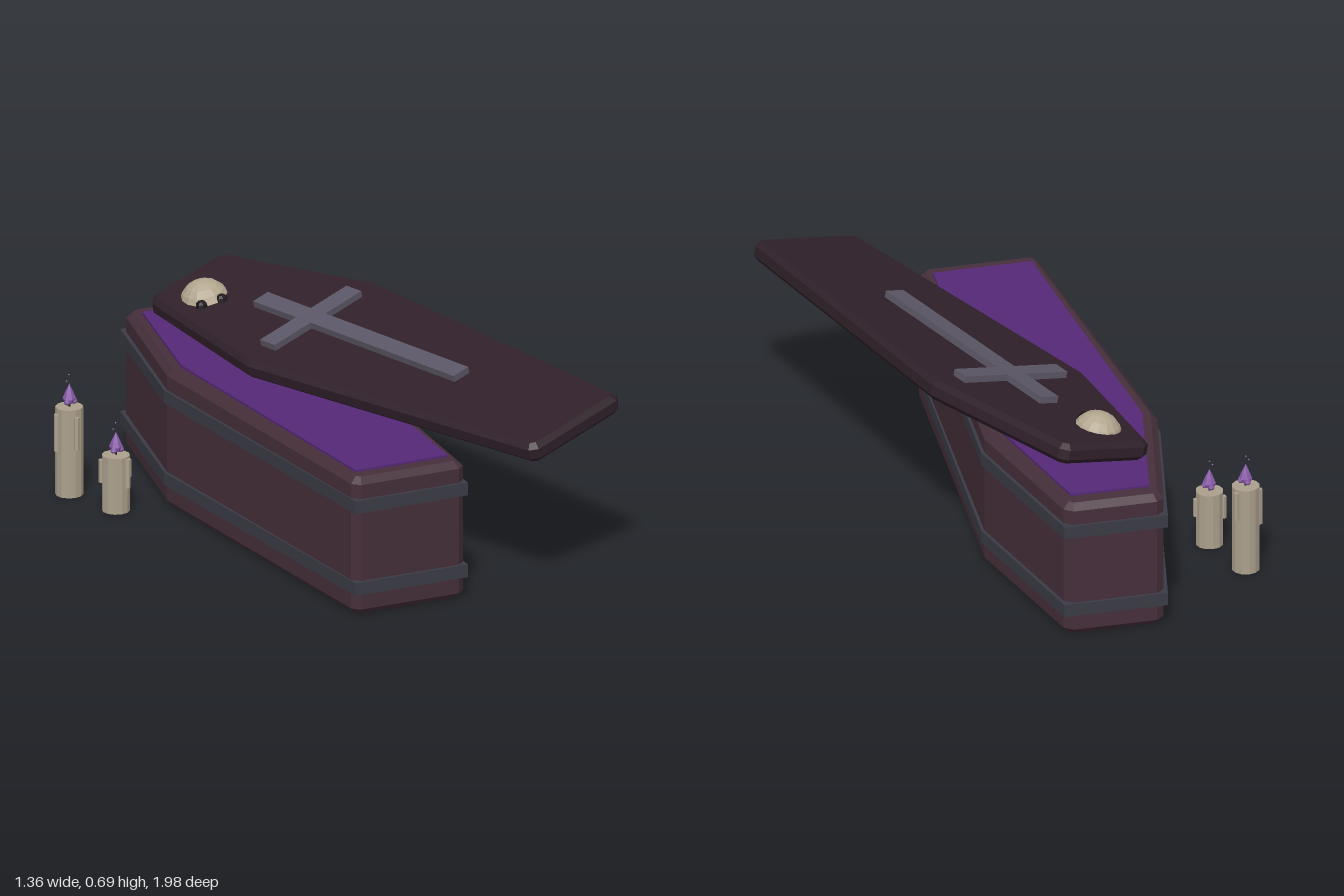
import * as THREE from 'three';

const mat = (color) => new THREE.MeshStandardMaterial({ color, flatShading: true });
const WOOD = mat(0x452f3a), LID = mat(0x2f2029), IRON = mat(0x3a3b45), CROSS = mat(0x5b5665);
const LINING = mat(0x552878), BONE = mat(0xb3a78f), DARK = mat(0x1c161a), WAX = mat(0xaba08c), FLAME = mat(0x8a5cab);

function add(parent, name, geometry, material, x = 0, y = 0, z = 0) {
  const mesh = new THREE.Mesh(geometry, material);
  mesh.name = name;
  mesh.position.set(x, y, z);
  parent.add(mesh);
  return mesh;
}

// Six-sided coffin slab standing on y = 0; the end corners may be cut, the edges bevelled
function coffinSlab([backW, midW, frontW], [backZ, midZ, frontZ], height, bevel = 0, cut = 0) {
  const corners = [[-backW, backZ, cut], [-midW, midZ, 0], [-frontW, frontZ, cut],
    [frontW, frontZ, cut], [midW, midZ, 0], [backW, backZ, cut]]
    .map(([x, z, c]) => ({ p: new THREE.Vector2(x, -z), c }));
  const points = [];
  corners.forEach(({ p, c }, i) => {
    if (!c) return points.push(p);
    for (const step of [5, 1]) {
      const q = corners[(i + step) % 6].p;
      points.push(p.clone().add(q.clone().sub(p).setLength(c)));
    }
  });
  const geo = new THREE.ExtrudeGeometry(new THREE.Shape(points), {
    depth: height - 2 * bevel, bevelEnabled: bevel > 0, bevelThickness: bevel,
    bevelSize: bevel, bevelOffset: -bevel, bevelSegments: 1,
  });
  return geo.translate(0, 0, bevel).rotateX(-Math.PI / 2);
}

function buildCoffin() {
  const g = new THREE.Group();
  g.name = 'coffin';
  g.position.x = -0.095;
  add(g, 'coffinBody', coffinSlab([0.167, 0.297, 0.205], [-0.99, -0.4, 0.835], 0.485, 0.022, 0.024), WOOD);
  add(g, 'lining', coffinSlab([0.135, 0.245, 0.17], [-0.92, -0.4, 0.77], 0.03), LINING, 0, 0.463, 0);
  for (const y of [0.078, 0.368])
    add(g, 'ironBand', coffinSlab([0.178, 0.308, 0.208], [-1, -0.4, 0.846], 0.045), IRON, 0, y, 0);
  return g;
}

// Lid slid aside and tipped, with its cross in relief
function buildLid() {
  const g = new THREE.Group();
  g.name = 'lidGroup';
  g.rotation.set(0.014, 0.314, 0.222, 'YXZ');
  g.position.set(0.09, 0.587, -0.28);
  add(g, 'lid', coffinSlab([0.174, 0.308, 0.207], [-0.61, 0, 1.27], 0.07, 0.018, 0.024), LID, 0, -0.035, 0);
  add(g, 'crossPost', new THREE.BoxGeometry(0.07, 0.03, 0.96), CROSS, 0, 0.043, 0.24);
  add(g, 'crossBar', new THREE.BoxGeometry(0.41, 0.03, 0.07), CROSS, 0, 0.0425, 0);
  return g;
}

// Skull sunk into the lid, leaning with it
function buildSkull() {
  const g = new THREE.Group();
  g.name = 'skull';
  g.position.set(-0.108, 0.578, -0.69);
  g.rotation.set(0, -0.1, 0.2);
  const cranium = add(g, 'cranium', new THREE.SphereGeometry(0.087, 14, 10), BONE);
  cranium.scale.set(1, 1, 1.06);
  add(g, 'jaw', new THREE.CylinderGeometry(0.055, 0.04, 0.06, 8), BONE, 0, -0.055, 0.045);
  for (const s of [-1, 1])
    add(g, 'eyeSocket', new THREE.SphereGeometry(0.022, 8, 6), DARK, s * 0.036, 0.028, 0.073);
  add(g, 'noseHole', new THREE.ConeGeometry(0.012, 0.025, 4), DARK, 0, -0.01, 0.088);
  return g;
}

// drips: [angle from +z towards +x, top, length]
function buildCandle(x, z, height, drips) {
  const g = new THREE.Group();
  g.name = 'candle';
  g.position.set(x, 0, z);
  const r = 0.047;
  add(g, 'wax', new THREE.CylinderGeometry(r, r, height, 12), WAX, 0, height / 2, 0);
  for (const [a, top, len] of drips)
    add(g, 'waxDrip', new THREE.CylinderGeometry(0.011, 0.011, len, 6), WAX,
      Math.sin(a) * r, top - len / 2, Math.cos(a) * r);
  add(g, 'wick', new THREE.CylinderGeometry(0.004, 0.004, 0.025, 5), DARK, 0, height + 0.01, 0);
  const profile = [[0, 0], [0.016, 0.006], [0.023, 0.02], [0.015, 0.04], [0, 0.072]]
    .map(([px, py]) => new THREE.Vector2(px, py));
  const flame = new THREE.LatheGeometry(profile, 6);
  add(g, 'flame', flame, FLAME, 0, height + 0.008, 0);
  for (const a of [1.2, 3.3, 5.4])
    add(g, 'smallFlame', flame, FLAME, Math.sin(a) * 0.016, height + 0.008, Math.cos(a) * 0.016)
      .scale.setScalar(0.5);
  // sparks drifting up
  add(g, 'spark', new THREE.OctahedronGeometry(0.004), FLAME, -0.012, height + 0.092, 0.004);
  add(g, 'spark', new THREE.OctahedronGeometry(0.004), FLAME, 0.001, height + 0.11, -0.004);
  return g;
}

export function createModel() {
  const model = new THREE.Group();
  model.name = 'openCoffin';
  model.add(
    buildCoffin(), buildLid(), buildSkull(),
    buildCandle(-0.63, -0.655, 0.31, [[0.1, 0.285, 0.115], [-1.5, 0.29, 0.13], [2.2, 0.3, 0.1]]),
    buildCandle(-0.56, -0.445, 0.197, [[0.5, 0.19, 0.1], [1.65, 0.172, 0.062], [-2, 0.18, 0.08]]),
  );
  return model;
}
